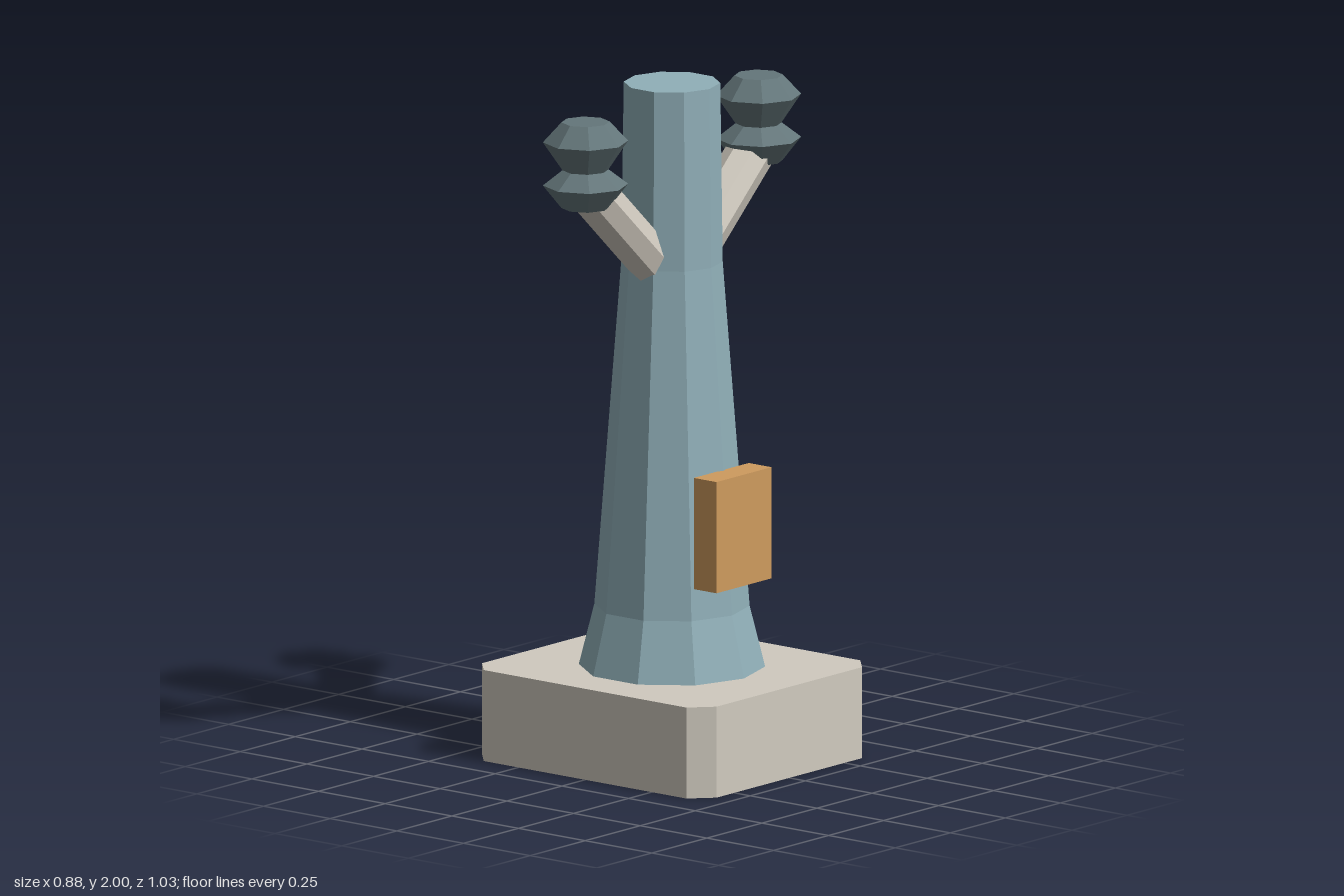
import * as THREE from 'three';

const flat = (name, color) => {
  const m = new THREE.MeshStandardMaterial({ color, flatShading: true });
  m.name = name;
  return m;
};

export function createModel() {
  const stone = flat('pale stone', 0xd0cabf);
  const blue = flat('dusty blue', 0x90afb8);
  const slate = flat('dark slate', 0x64767a);
  const amber = flat('amber', 0xce9b5e);

  const root = new THREE.Group();
  root.name = 'lampColumn';
  const add = (name, geometry, material, parent = root) => {
    const mesh = new THREE.Mesh(geometry, material);
    mesh.name = name;
    parent.add(mesh);
    return mesh;
  };
  // Faceted turned solid from [radius, height] pairs
  const turned = (points, sides, start = 0) =>
    new THREE.LatheGeometry(points.map(([r, y]) => new THREE.Vector2(r, y)), sides, start);

  // Plinth with cut corners
  const outline = [[0.38, 0.395], [-0.38, 0.395], [-0.44, 0.33], [-0.44, -0.33],
    [-0.38, -0.395], [0.38, -0.395], [0.44, -0.33], [0.44, 0.33]];
  const shape = new THREE.Shape(outline.map(([x, y]) => new THREE.Vector2(x, y)));
  const plinth = new THREE.ExtrudeGeometry(shape, { depth: 0.27, bevelEnabled: false });
  add('plinth', plinth.rotateX(-Math.PI / 2), stone);

  // Ten-sided tapering column with a flared foot
  add('column', turned([[0, 0.27], [0.27, 0.27], [0.225, 0.45], [0.147, 1.47],
    [0.14, 2], [0, 2]], 10, Math.PI / 2), blue);

  // Panel on the left side
  add('sidePanel', new THREE.BoxGeometry(0.085, 0.33, 0.25).translate(0.2275, 0.71, 0), amber);

  // Matching arms and lamps at front and back
  for (const side of [1, -1]) {
    const branch = new THREE.Group();
    branch.name = side > 0 ? 'frontBranch' : 'backBranch';
    branch.rotation.y = side > 0 ? 0 : Math.PI;
    root.add(branch);

    const from = new THREE.Vector3(0, 1.446, 0.05);
    const to = new THREE.Vector3(0, 1.76, 0.39);
    const dir = to.clone().sub(from);
    const arm = add('arm', new THREE.CylinderGeometry(0.07, 0.07, dir.length(), 8), stone, branch);
    arm.position.copy(from).add(to).multiplyScalar(0.5);
    arm.rotation.x = Math.atan2(dir.z, dir.y);

    const lamp = add('lamp', turned([[0, 1.698], [0.07, 1.698], [0.124, 1.766], [0.067, 1.81],
      [0.124, 1.894], [0.07, 1.952], [0, 1.952]], 8), slate, branch);
    lamp.position.z = 0.393;
  }
  return root;
}
